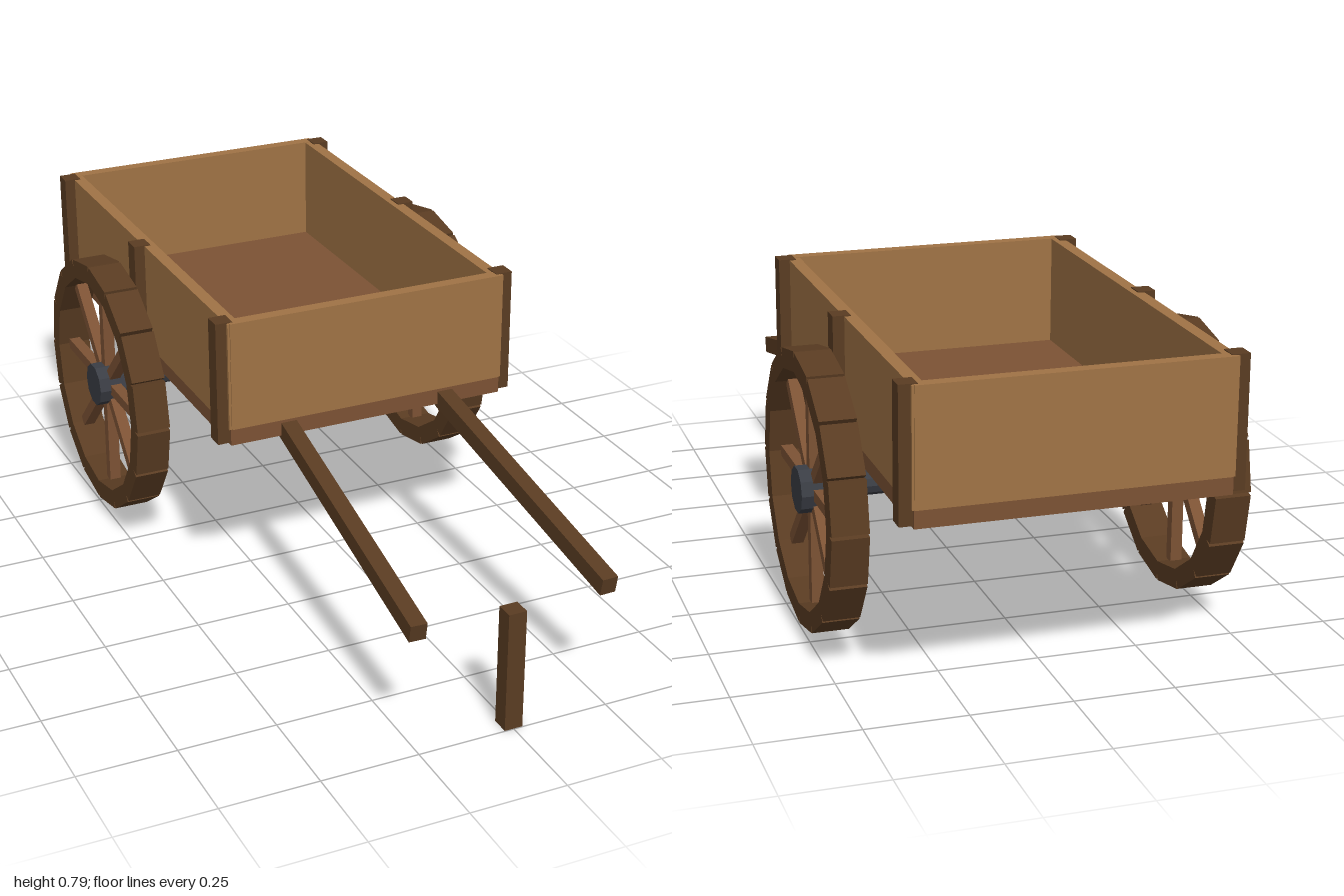
import * as THREE from 'three';

const mat = (name, color) => {
  const m = new THREE.MeshStandardMaterial({ color });
  m.name = name;
  return m;
};

export function createModel() {
  const plank = mat('light plank wood', 0xa07345);
  const floorWood = mat('floor wood', 0x7c5234);
  const darkWood = mat('dark wood', 0x5a3c22);
  const iron = mat('dark iron', 0x3a3d44);
  iron.flatShading = true;

  const cart = new THREE.Group();
  cart.name = 'handCart';

  const box = (parent, name, material, size, pos) => {
    const mesh = new THREE.Mesh(new THREE.BoxGeometry(...size), material);
    mesh.name = name;
    mesh.position.set(...pos);
    parent.add(mesh);
    return mesh;
  };
  const rod = (parent, name, radius, length, sides, pos) => {
    const mesh = new THREE.Mesh(new THREE.CylinderGeometry(radius, radius, length, sides), iron);
    mesh.name = name;
    mesh.rotation.z = Math.PI / 2;
    mesh.position.set(...pos);
    parent.add(mesh);
  };

  // Bed: floor, four side boards and six corner and middle posts
  const bedZ = -0.398;
  box(cart, 'floor', floorWood, [0.756, 0.045, 1.195], [0, 0.484, bedZ]);
  for (const s of [-1, 1]) {
    box(cart, 'sideBoard', plank, [0.032, 0.285, 1.196], [s * 0.366, 0.648, bedZ]);
    box(cart, s > 0 ? 'frontBoard' : 'backBoard', plank, [0.752, 0.286, 0.032], [0, 0.6485, bedZ + s * 0.585]);
    for (const dz of [-0.567, 0, 0.567]) {
      box(cart, 'post', darkWood, [0.045, 0.326, 0.047], [s * 0.388, 0.63, bedZ + dz]);
    }
  }

  // Axle
  const axleY = 0.38, axleZ = -0.455;
  rod(cart, 'axle', 0.03, 0.92, 10, [0, axleY, axleZ]);

  // Wheels: straight rim blocks, spokes and an iron hub
  for (const s of [-1, 1]) {
    const wheel = new THREE.Group();
    wheel.name = s > 0 ? 'leftWheel' : 'rightWheel';
    wheel.position.set(s * 0.47, axleY, axleZ);
    for (let i = 0; i < 16; i++) {
      const a = (i + 0.5) * Math.PI / 8;
      const block = box(wheel, 'rimBlock', darkWood, [0.09, 0.05, 0.126],
        [0, 0.314 * Math.cos(a), 0.314 * Math.sin(a)]);
      block.rotation.x = a;
    }
    for (let i = 0; i < 8; i++) {
      const a = i * Math.PI / 4;
      const spoke = box(wheel, 'spoke', floorWood, [0.03, 0.28, 0.028],
        [0, 0.165 * Math.cos(a), 0.165 * Math.sin(a)]);
      spoke.rotation.x = a;
    }
    rod(wheel, 'hub', 0.058, 0.09, 10, [0, 0, 0]);
    cart.add(wheel);
  }

  // Pull shafts, spreading and dropping toward the front
  for (const s of [-1, 1]) {
    const a = new THREE.Vector3(s * 0.22, 0.475, 0.19);
    const b = new THREE.Vector3(s * 0.25, 0.319, 0.985);
    const mid = a.clone().add(b).multiplyScalar(0.5);
    const shaft = box(cart, s > 0 ? 'leftShaft' : 'rightShaft', darkWood,
      [0.042, 0.046, a.distanceTo(b)], mid.toArray());
    shaft.lookAt(b);
  }

  // Upright prop between the shaft ends
  box(cart, 'prop', darkWood, [0.047, 0.315, 0.047], [0, 0.1575, 0.975]);

  return cart;
}
